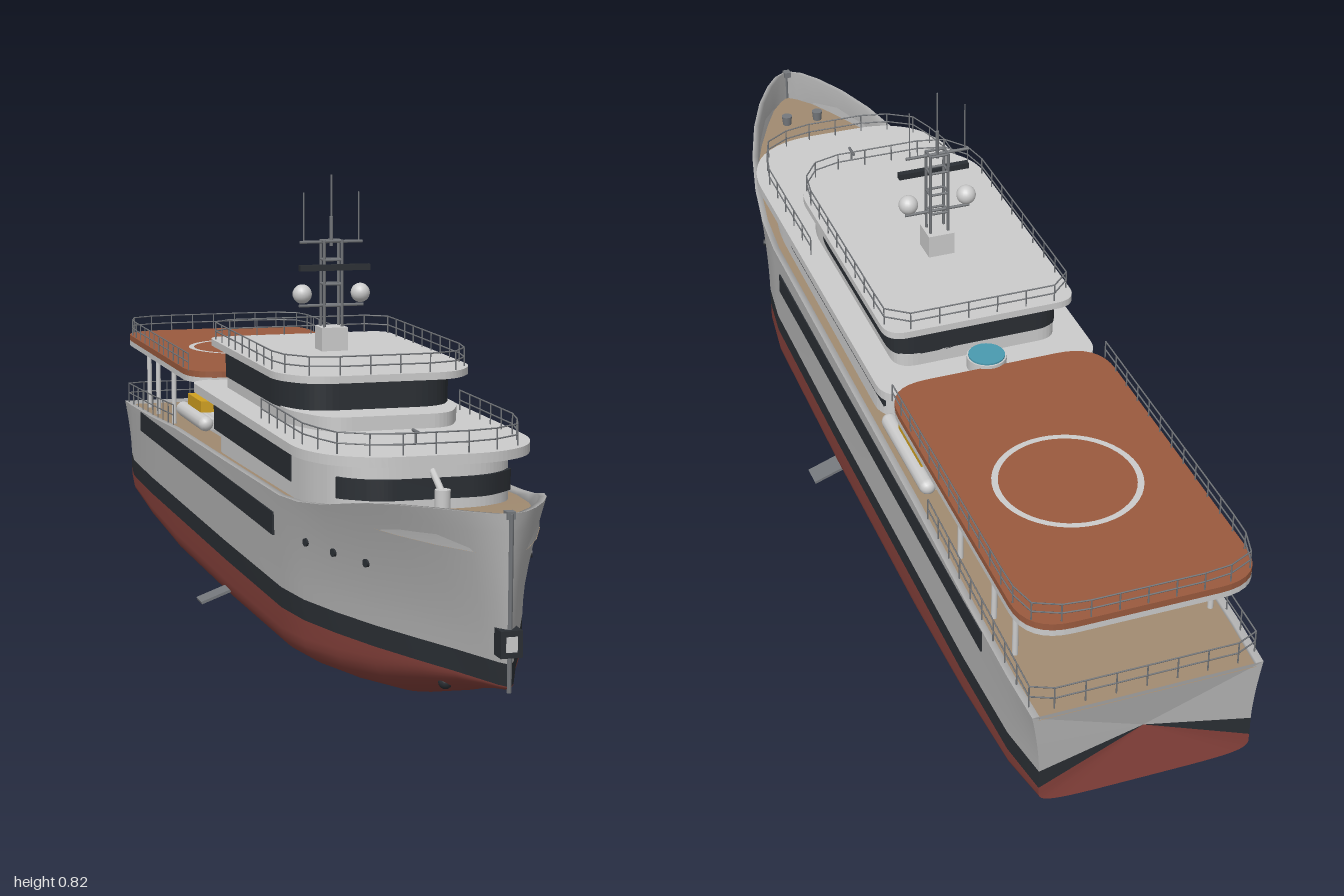
import * as THREE from 'three';
import { mergeGeometries } from 'three/addons/utils/BufferGeometryUtils.js';

const mat = (color) => new THREE.MeshStandardMaterial({ color, side: THREE.DoubleSide });
const V = (x, y, z) => new THREE.Vector3(x, y, z);

// Hull stations: z, sheer half-beam, waterline half-beam, keel height, sheer height, bilge fullness
const STATIONS = [
  [-1, .199, .185, .075, .262, .4], [-.9, .203, .2, .062, .266, .4], [-.7, .205, .205, .04, .274, .4],
  [-.45, .205, .205, .02, .287, .4], [0, .205, .205, .02, .296, .4], [.4, .205, .201, .02, .305, .45],
  [.5, .199, .188, .02, .312, .5], [.6, .184, .16, .02, .325, .6], [.7, .161, .126, .027, .345, .75],
  [.8, .128, .085, .055, .36, .9], [.88, .093, .05, .08, .368, 1], [.94, .058, .026, .095, .372, 1],
  [.975, .03, .012, .102, .374, 1], [.99, .004, .003, .106, .375, 1],
];
const BOOT = .11, WATER = .145;

function stationAt(z) {
  let i = 0;
  while (i < STATIONS.length - 2 && STATIONS[i + 1][0] < z) i++;
  const a = STATIONS[i], b = STATIONS[i + 1], t = (z - a[0]) / (b[0] - a[0]);
  return a.map((v, k) => v + (b[k] - v) * t);
}
const sideX = ([, top, wl, , sheer], y) => wl + (top - wl) * Math.pow((y - WATER) / (sheer - WATER), 1.6);
const deckY = (s) => Math.min(s[4] - .008, .31);

// Skin over a list of equal-length rows of points
function skin(rows) {
  const n = rows[0].length, index = [];
  for (let i = 0; i < rows.length - 1; i++) for (let j = 0; j < n - 1; j++) {
    const a = i * n + j, b = a + n;
    index.push(a, a + 1, b, b, a + 1, b + 1);
  }
  const g = new THREE.BufferGeometry().setFromPoints(rows.flat());
  g.setIndex(index);
  g.computeVertexNormals();
  return g;
}

// Plan outline from right-half corners [x, z], mirrored, every corner rounded by r
function plan(half, r) {
  const pts = [...half, ...half.map(([x, z]) => [-x, z]).reverse()].map(([x, z]) => new THREE.Vector2(x, z));
  const s = new THREE.Shape(), n = pts.length;
  pts.forEach((p, i) => {
    const toward = (q) => p.clone().add(q.clone().sub(p).setLength(Math.min(r, q.distanceTo(p) * .45)));
    const a = toward(pts[(i + n - 1) % n]), b = toward(pts[(i + 1) % n]);
    if (i) s.lineTo(a.x, a.y); else s.moveTo(a.x, a.y);
    s.quadraticCurveTo(p.x, p.y, b.x, b.y);
  });
  s.closePath();
  return s;
}

function rodGeo(a, b, r, sides = 5) {
  const d = b.clone().sub(a), g = new THREE.CylinderGeometry(r, r, d.length(), sides);
  g.applyQuaternion(new THREE.Quaternion().setFromUnitVectors(V(0, 1, 0), d.normalize()));
  return g.translate(...a.clone().add(b).multiplyScalar(.5).toArray());
}

export function createModel() {
  const ship = new THREE.Group();
  ship.name = 'ship';
  const M = {
    white: mat(0xd8d8d4), grey: mat(0xcccccc), hull: mat(0xb0b0b0), dark: mat(0x2a2e33), red: mat(0x84403a),
    teak: mat(0xa08a70), pad: mat(0x9a5a3e), steel: mat(0x75787c), yellow: mat(0xd0a020),
    teal: mat(0x4a9ab0), gold: mat(0xb08a40),
  };
  const add = (name, geo, m, x = 0, y = 0, z = 0) => {
    const mesh = new THREE.Mesh(geo, m);
    mesh.name = name;
    mesh.position.set(x, y, z);
    ship.add(mesh);
    return mesh;
  };
  const box = (name, w, h, d, m, x, y, z) => add(name, new THREE.BoxGeometry(w, h, d), m, x, y, z);
  const drum = (name, r, h, m, x, y, z, top = r) => add(name, new THREE.CylinderGeometry(top, r, h, 20), m, x, y, z);
  const slab = (name, shape, y0, y1, m) => add(name,
    new THREE.ExtrudeGeometry(shape, { depth: y1 - y0, bevelEnabled: false, curveSegments: 8 }).rotateX(Math.PI / 2), m, 0, y1, 0);
  const rods = (name, list, m) => add(name, mergeGeometries(list.map((l) => rodGeo(...l))), m);

  // Railing: posts with two lines along a plan path
  const rail = (name, path, base, h, count) => {
    const pts = path.getSpacedPoints(count).map((p) => V(p.x, base(p.y), p.y)), list = [];
    const up = (p, k) => p.clone().setY(p.y + h * k);
    pts.forEach((p, i) => {
      list.push([p, up(p, 1), .0014]);
      if (i) for (const k of [.5, 1]) list.push([up(pts[i - 1], k), up(p, k), .0014]);
    });
    rods(name, list, M.steel);
  };
  const openPath = (half) => new THREE.Path([...half, ...half.map(([x, z]) => [-x, z]).reverse()]
    .map(([x, z]) => new THREE.Vector2(x, z)));

  // Hull in three colour bands, each closed at the transom towards one inner point
  const stern = V(0, .175, -.985);
  const band = (name, m, profile) => {
    const rows = STATIONS.map(profile);
    add(name, skin(rows), m);
    add(name + 'Transom', skin([rows[0].map(() => stern.clone()), rows[0]]).toNonIndexed(), m).geometry.computeVertexNormals();
  };
  band('hullBottom', M.red, ([z, , wl, keel, , p]) => Array.from({ length: 25 }, (_, i) => {
    const a = (i / 24 - .5) * Math.PI, c = Math.max(0, Math.cos(a));
    return V(Math.sign(a) * wl * Math.pow(Math.abs(Math.sin(a)), p), BOOT - (BOOT - keel) * Math.pow(c, p), z);
  }));
  for (const s of [1, -1]) {
    band('bootStripe', M.dark, ([z, , wl]) => [V(s * wl, BOOT, z), V(s * wl, WATER, z)]);
    band('topsides', M.hull, (st) => Array.from({ length: 9 }, (_, i) => {
      const y = WATER + (st[4] - WATER) * i / 8;
      return V(s * sideX(st, y), y, st[0]);
    }));
    // Bulwark cap and inner face
    add('bulwark', skin(STATIONS.map((st) => {
      const x = st[1], inner = Math.max(0, x - .012);
      return [V(s * x, st[4], st[0]), V(s * inner, st[4], st[0]), V(s * inner, deckY(st), st[0])];
    })), M.hull);
  }
  add('transomTop', skin([[V(-.199, .262, -1), V(.199, .262, -1)], [stern, stern]]), M.hull);
  add('deck', skin(STATIONS.map((st) => {
    const x = Math.max(0, st[1] - .011);
    return [V(-x, deckY(st), st[0]), V(x, deckY(st), st[0])];
  })), M.teak);

  // Bow fittings
  rods('stemBar', [[V(0, .1, .988), V(0, .375, .991), .004]], M.steel);
  box('anchorPocket', .035, .042, .03, M.dark, 0, .177, .984);
  box('anchorPlate', .018, .024, .004, M.grey, 0, .177, .998);
  box('stemhead', .014, .012, .016, M.steel, 0, .372, .984);
  drum('cranePedestal', .013, .045, M.white, 0, .33, .665);
  rods('craneArm', [[V(0, .345, .665), V(0, .375, .61), .006, 8]], M.white);

  // Main deckhouse
  slab('deckhouse', plan([[.175, -.2], [.175, .47], [.15, .57], [.09, .615]], .05), .285, .392, M.white);
  slab('frontWindows', plan([[.153, .56], [.15, .575], [.093, .619]], .03), .328, .363, M.dark);
  slab('aftHouse', plan([[.13, -.52], [.13, -.19]], .01), .27, .395, M.white);
  slab('upperDeck', plan([[.205, -.3], [.205, .52], [.17, .6], [.1, .643]], .05), .388, .405, M.white);

  // Wheelhouse
  slab('wheelhouseBase', plan([[.155, -.22], [.155, .28], [.11, .38]], .04), .405, .43, M.white);
  slab('wheelhouseWindows', plan([[.16, -.22], [.16, .22], [.12, .3]], .05), .428, .487, M.dark);
  slab('wheelhouseRoof', plan([[.18, -.245], [.18, .28], [.13, .348]], .04), .484, .497, M.white);
  drum('hotTubRim', .036, .022, M.white, 0, .416, -.262);
  drum('hotTubWater', .033, .004, M.teal, 0, .428, -.262);
  rods('deckLight', [[V(0, .405, .52), V(0, .425, .52), .002], [V(0, .425, .535), V(0, .425, .505), .003]], M.steel);

  // Landing platform
  const padHalf = [[.203, -.98], [.203, -.29]];
  slab('platformBase', plan(padHalf, .08), .398, .409, M.grey);
  slab('landingPlatform', plan(padHalf, .08), .409, .421, M.pad);
  add('landingCircle', new THREE.RingGeometry(.116, .127, 48).rotateX(-Math.PI / 2), M.white, 0, .4225, -.645);

  // Railings
  rail('platformRail', openPath([[.2, -.33], [.2, -.9], [.185, -.955], [.13, -.977]]), () => .42, .034, 34);
  rail('upperDeckRail', openPath([[.185, .2], [.185, .5], [.155, .59], [.09, .63]]), () => .405, .036, 20);
  rail('roofRail', plan([[.174, -.237], [.174, .275], [.127, .34]], .04), () => .496, .034, 32);
  rail('aftDeckRail', openPath([[.195, -.5], [.195, -.99]]), (z) => stationAt(z)[4], .042, 26);

  // Mast
  box('mastPedestal', .05, .045, .05, M.grey, 0, .518, 0);
  const mast = [
    [V(-.062, .58, 0), V(.062, .58, 0), .003], [V(-.06, .698, 0), V(.06, .698, 0), .003],
    [V(0, .69, 0), V(0, .745, 0), .0035], [V(0, .74, 0), V(0, .822, 0), .0018],
  ];
  for (const x of [-.017, .017]) {
    for (const z of [-.012, .012]) mast.push([V(x, .53, z), V(x, .702, z), .003]);
    mast.push([V(x * 3.1, .698, 0), V(x * 3.1, .79, 0), .0013]);
  }
  for (const y of [.58, .62, .665, .7]) {
    for (const z of [-.012, .012]) mast.push([V(-.017, y, z), V(.017, y, z), .0025]);
    for (const x of [-.017, .017]) mast.push([V(x, y, -.012), V(x, y, .012), .0025]);
  }
  rods('mast', mast, M.steel);
  box('radarBar', .134, .011, .012, M.dark, 0, .652, .022);

  // Mirrored equipment
  for (const s of [1, -1]) {
    add('radome', new THREE.SphereGeometry(.018, 20, 14), M.white, s * .056, .602, 0);
    box('hullWindow', .004, .04, 1.15, M.dark, s * .2045, .248, -.215);
    box('deckhouseWindow', .004, .068, .58, M.dark, s * .175, .356, .08);
    box('aftHousePanel', .004, .062, .31, M.dark, s * .131, .35, -.36);
    for (const z of [.7, .61, .52]) {
      const port = add('porthole', new THREE.CylinderGeometry(.007, .007, .008, 12).rotateZ(Math.PI / 2),
        M.dark, s * sideX(stationAt(z), .247), .247, z);
      port.rotation.y = s * -.3;
    }
    drum('bollard', .009, .02, M.steel, s * .034, .32, .875, .011);
    for (const z of [-.6, -.76, -.855]) drum('platformPost', .005, .135, M.white, s * .172, .335, z);

    // Tender on the side deck
    for (const x of [.15, .182]) {
      add('tenderTube', new THREE.CapsuleGeometry(.015, .2, 6, 12).rotateX(Math.PI / 2), M.white, s * x, .324, -.36);
    }
    box('tenderFloor', .03, .02, .2, M.white, s * .166, .322, -.36);
    box('tenderConsole', .03, .022, .12, M.yellow, s * .166, .35, -.365);

    // Stabiliser fin and bow thruster opening
    box('stabiliserFin', .065, .005, .042, M.steel, s * .225, .045, 0).rotation.z = s * -.35;
    add('thrusterOpening', new THREE.SphereGeometry(.012, 12, 8), M.dark, s * .048, .08, .83);

    // Pod drive with propeller
    const px = s * .1;
    add('pod', new THREE.CapsuleGeometry(.019, .075, 6, 14).rotateX(Math.PI / 2), M.steel, px, .034, -.87);
    box('podStrut', .012, .045, .05, M.steel, px, .058, -.875);
    for (let i = 0; i < 4; i++) {
      const blade = new THREE.BoxGeometry(.012, .026, .003).rotateY(.5).translate(0, .015, 0).rotateZ(i * Math.PI / 2 + .78);
      add('propellerBlade', blade, M.gold, px, .03, -.81);
    }
  }
  return ship;
}
